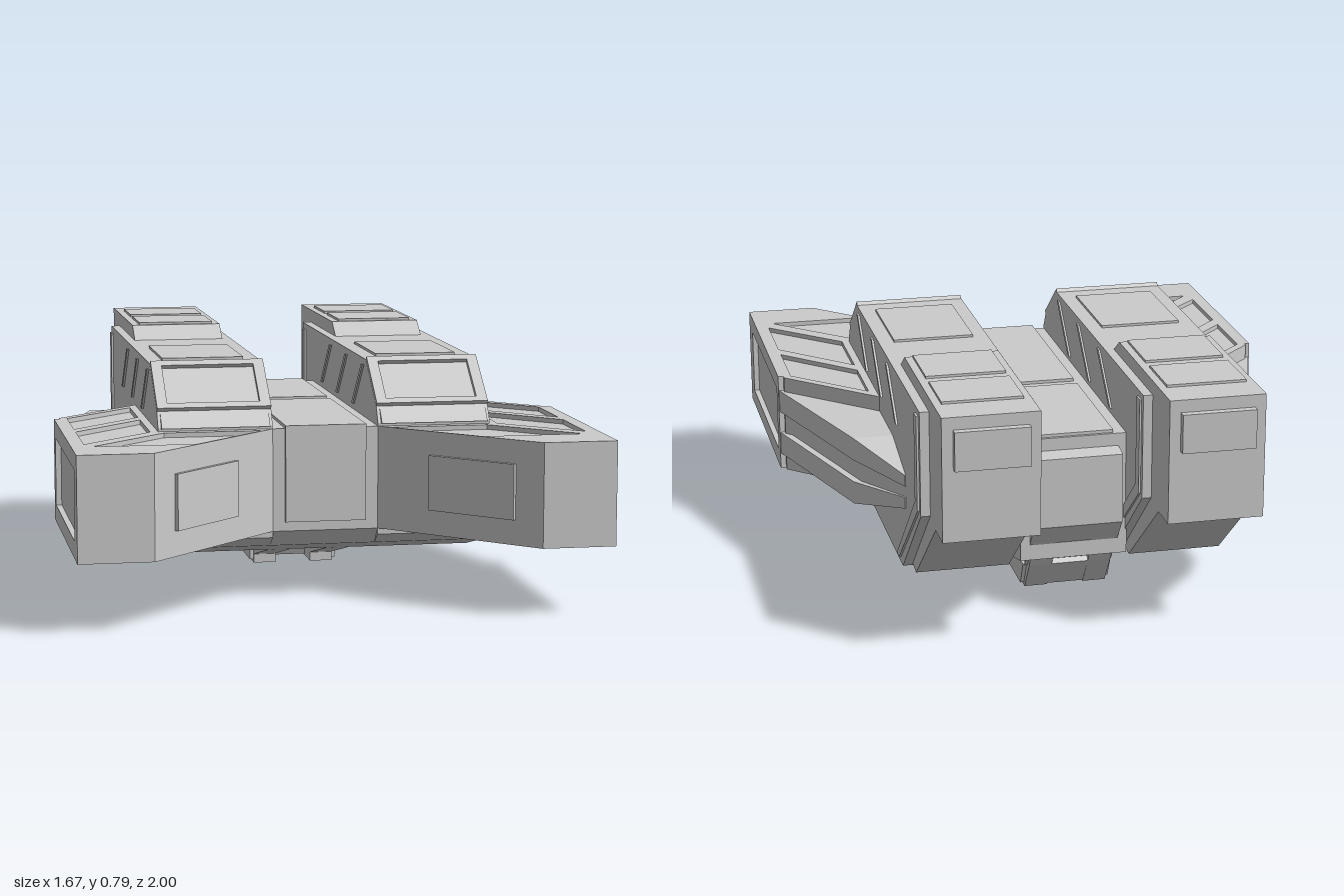
import * as THREE from 'three';

const material = new THREE.MeshStandardMaterial({ color: 0xcccccc, flatShading: true });

function outline(points, holes = []) {
  const toV = (list) => list.map(([a, b]) => new THREE.Vector2(a, b));
  const shape = new THREE.Shape(toV(points));
  holes.forEach((h) => shape.holes.push(new THREE.Path(toV(h))));
  return shape;
}
const extrude = (points, depth, holes) =>
  new THREE.ExtrudeGeometry(outline(points, holes), { depth, bevelEnabled: false });

// side profile of [z, y] points, spanning x0..x1
const profile = (points, x0, x1, holes) =>
  extrude(points, x1 - x0, holes).rotateY(-Math.PI / 2).translate(x1, 0, 0);

// plan of [x, z] points, spanning y0..y1
const plan = (points, y0, y1, holes) =>
  extrude(points, y1 - y0, holes).rotateX(Math.PI / 2).translate(0, y1, 0);

const box = (x0, x1, y0, y1, z0, z1) =>
  new THREE.BoxGeometry(x1 - x0, y1 - y0, z1 - z0)
    .translate((x0 + x1) / 2, (y0 + y1) / 2, (z0 + z1) / 2);

const rect = (a0, a1, b0, b1) => [[a0, b0], [a1, b0], [a1, b1], [a0, b1]];

// mirrored copy across x = 0 with the winding restored
function mirrored(geometry) {
  const g = geometry.index ? geometry.toNonIndexed() : geometry.clone();
  g.scale(-1, 1, 1);
  const p = g.attributes.position;
  const a = new THREE.Vector3(), b = new THREE.Vector3();
  for (let i = 0; i < p.count; i += 3) {
    a.fromBufferAttribute(p, i + 1);
    b.fromBufferAttribute(p, i + 2);
    p.setXYZ(i + 1, b.x, b.y, b.z);
    p.setXYZ(i + 2, a.x, a.y, a.z);
  }
  g.computeVertexNormals();
  return g;
}

export function createModel() {
  const model = new THREE.Group();
  model.name = 'spacecraft';
  const add = (name, geometry) => {
    const mesh = new THREE.Mesh(geometry, material);
    mesh.name = name;
    model.add(mesh);
  };
  const addPair = (name, geometry) => {
    add(name + 'Left', geometry);
    add(name + 'Right', mirrored(geometry));
  };

  // Central hull with raised panels
  add('centralHull', profile([[0.57, 0.22], [0.57, 0.55], [-0.58, 0.55], [-0.58, 0.14],
    [-0.45, 0.105], [0.28, 0.105], [0.52, 0.165]], -0.175, 0.175));
  add('centralTail', profile([[-0.5, 0.52], [-0.64, 0.5], [-0.64, 0.27], [-0.5, 0.09]], -0.145, 0.145));
  add('centralNosePanel', box(-0.13, 0.13, 0.25, 0.56, 0.5, 0.58));
  add('centralTopPanelFront', box(-0.13, 0.13, 0.54, 0.56, -0.04, 0.58));
  add('centralTopPanelRear', box(-0.13, 0.13, 0.54, 0.56, -0.57, -0.09));

  // Keel: two rails with a recessed channel between them
  addPair('keelRail', profile([[0.52, 0.2], [0.52, 0.165], [0.28, 0.105], [-0.03, 0.03], [-0.03, 0],
    [-0.46, 0], [-0.53, 0.1], [-0.64, 0.3], [-0.4, 0.3]], 0.06, 0.135));
  add('keelChannel', profile([[0.1, 0.16], [-0.12, 0.05], [-0.14, 0.004], [-0.46, 0.004],
    [-0.53, 0.1], [-0.4, 0.25], [0.1, 0.25]], -0.065, 0.065));
  addPair('keelSidePod', profile([[-0.04, 0.01], [-0.04, 0.09], [-0.49, 0.09], [-0.45, 0.01]], 0.08, 0.147));

  // Engine pods: wide armoured shell around a narrower core
  addPair('podShell', profile([[0.57, 0.2], [0.57, 0.56], [0.54, 0.61], [0.37, 0.74], [-0.78, 0.74],
    [-0.78, 0.4], [-0.45, 0.105], [0.28, 0.105], [0.52, 0.165]], 0.17, 0.535));
  addPair('podCore', profile([[0.2, 0.7], [-0.3, 0.738], [-0.37, 0.785], [-0.975, 0.785],
    [-0.975, 0.385], [-0.865, 0.385], [-0.52, 0.107], [0.2, 0.2]], 0.2, 0.505));
  addPair('podTopPanel', box(0.22, 0.485, 0.73, 0.748, -0.07, 0.29));
  for (const [z0, z1] of [[-0.6, -0.38], [-0.85, -0.65]])
    addPair('podRearTopPanel', box(0.225, 0.48, 0.77, 0.793, z0, z1));
  addPair('exhaustPanel', box(0.235, 0.47, 0.62, 0.745, -1, -0.96));

  // Cockpit window frame lying on the sloped nose
  const slope = Math.atan2(0.17, 0.13);
  const frame = extrude(rect(-0.182, 0.182, -0.107, 0.107), 0.014,
    [rect(-0.148, 0.148, -0.085, 0.085)]);
  addPair('windowFrame', frame.rotateX(-slope).translate(0.3525, 0.675, 0.455));
  addPair('windowSill', profile([[0.52, 0.55], [0.585, 0.56], [0.575, 0.575], [0.54, 0.61]], 0.18, 0.525));

  // Shell edging and slanted slats on both flanks of each pod
  for (const [x0, x1] of [[0.53, 0.542], [0.164, 0.175]]) {
    addPair('podRearEdging', profile([[-0.42, 0.125], [-0.76, 0.41], [-0.76, 0.72], [-0.72, 0.72],
      [-0.72, 0.43], [-0.38, 0.125]], x0, x1));
    for (const z of [0.2, -0.08, -0.36])
      addPair('podSlat', profile([[z + 0.12, 0.72], [z + 0.145, 0.72], [z - 0.015, 0.57], [z - 0.04, 0.57]], x0, x1));
  }

  // Forward wings: core, skins with sunken panels, and a framed outer side
  const wing = [[0.17, 0.57], [0.6, 1], [0.815, 1], [0.815, 0.215], [0.53, -0.06], [0.17, -0.06]];
  const sunken = [
    [[0.21, 0.6], [0.52, 0.6], [0.77, 0.84], [0.45, 0.84]],
    [[0.56, 0.01], [0.79, 0.23], [0.79, 0.47], [0.56, 0.24]],
    [[0.56, 0.3], [0.79, 0.53], [0.79, 0.79], [0.56, 0.57]],
  ];
  addPair('wingCore', plan(wing, 0.235, 0.535));
  addPair('wingTopSkin', plan(wing, 0.535, 0.55, sunken));
  addPair('wingBottomSkin', plan(wing, 0.22, 0.235, sunken));
  addPair('wingSideFrame', profile(rect(0.23, 1, 0.22, 0.55), 0.815, 0.833,
    [rect(0.28, 0.92, 0.275, 0.495)]));
  addPair('wingNosePanel', new THREE.BoxGeometry(0.31, 0.175, 0.024)
    .rotateY(-Math.PI / 4).translate(0.42, 0.3875, 0.82));

  // Rear fins: two tapering slabs with a recessed web between them
  const finPlans = (inset) => [
    [[0.5, 0.24], [0.832 - inset, 0.235], [0.665 - inset, -0.3], [0.5, -0.3]],
    [[0.5, -0.3], [0.665 - inset, -0.3], [0.538 - inset * 0.3, -0.525], [0.5, -0.525]],
  ];
  const middle = 0.3875;
  const fin = (name, inset, y0, y1) => finPlans(inset).forEach((points) => {
    const g = plan(points, y0, y1);
    const p = g.attributes.position;
    for (let i = 0; i < p.count; i++) {
      const k = 1 - 0.5 * Math.max(0, (-0.3 - p.getZ(i)) / 0.225);
      p.setY(i, middle + (p.getY(i) - middle) * k);
    }
    g.computeVertexNormals();
    addPair(name, g);
  });
  fin('finUpper', 0, 0.425, 0.5);
  fin('finLower', 0, 0.275, 0.35);
  fin('finWeb', 0.025, 0.34, 0.435);

  return model;
}
